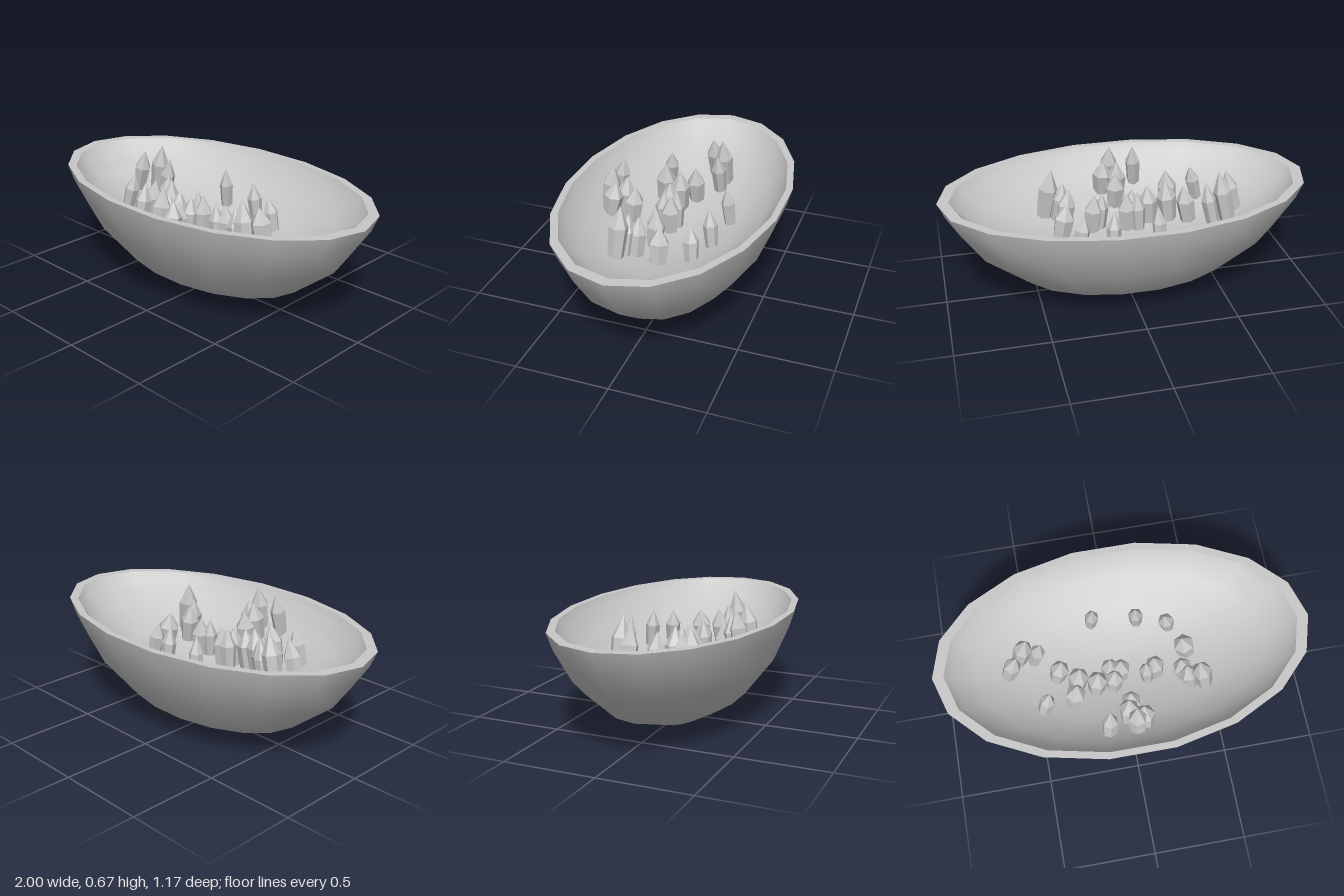
import * as THREE from 'three';

const SIDES = 18;
const DEPTH_SCALE = 0.593; // oval bowl: z radius relative to x radius
const RIM_Y = 0.6;
const WALL = 0.94;         // inner opening relative to outer rim
const INNER_DEPTH = 0.49;  // shallow inside: depth relative to outer shell

// Outer shell profile [radius, height], bottom to rim
const PROFILE = [[0, 0], [0.21, 0], [0.585, 0.13], [0.832, 0.325], [0.96, 0.51], [1, RIM_Y]];

// Crystals: [x, z, tip height, radius]
const CRYSTALS = [
  [-0.13, -0.25, 0.575, 0.038], [0.115, -0.225, 0.56, 0.04], [0.28, -0.17, 0.525, 0.043],
  [0.35, -0.015, 0.53, 0.057], [-0.535, -0.1, 0.665, 0.051], [-0.46, -0.09, 0.6, 0.042],
  [-0.605, -0.02, 0.63, 0.047], [-0.355, 0.015, 0.55, 0.051], [-0.26, 0.08, 0.565, 0.055],
  [-0.29, 0.18, 0.58, 0.055], [-0.45, 0.2, 0.58, 0.041], [-0.16, 0.11, 0.53, 0.055],
  [-0.08, 0.04, 0.53, 0.046], [-0.02, 0.055, 0.52, 0.051], [-0.065, 0.11, 0.52, 0.049],
  [0.12, 0.095, 0.52, 0.041], [0.17, 0.07, 0.52, 0.051], [0.315, 0.12, 0.55, 0.052],
  [0.34, 0.17, 0.57, 0.05], [0.405, 0.19, 0.645, 0.053], [0, 0.265, 0.55, 0.055],
  [-0.02, 0.32, 0.6, 0.055], [0.055, 0.365, 0.59, 0.055], [0.01, 0.395, 0.665, 0.05],
  [-0.137, 0.39, 0.655, 0.043],
];

// Oval lathe with a corner on the long axis
function ovalLathe(points) {
  const profile = points.map(([r, y]) => new THREE.Vector2(r, y));
  const geometry = new THREE.LatheGeometry(profile, SIDES, Math.PI / 2);
  return geometry.scale(1, 1, DEPTH_SCALE);
}

// Unit crystal: six-sided prism widening to a shoulder, then a point
function crystalGeometry() {
  const profile = [[0, 0], [0.8, 0], [1, 0.62], [0, 1]].map(([r, y]) => new THREE.Vector2(r, y));
  const geometry = new THREE.LatheGeometry(profile, 6).toNonIndexed();
  geometry.computeVertexNormals();
  return geometry;
}

export function createModel() {
  const model = new THREE.Group();
  model.name = 'crystalBowl';
  const stone = new THREE.MeshStandardMaterial({ color: 0xc8c8c8 });
  stone.name = 'stoneGrey';

  const add = (parent, name, geometry) => {
    const mesh = new THREE.Mesh(geometry, stone);
    mesh.name = name;
    parent.add(mesh);
    return mesh;
  };

  // Bowl: deep outside, shallow inside
  const inner = PROFILE.map(([r, y]) => [r * WALL, RIM_Y + (y - RIM_Y) * INNER_DEPTH]).reverse();
  add(model, 'outerShell', ovalLathe(PROFILE));
  add(model, 'rim', ovalLathe([[1, RIM_Y], [WALL, RIM_Y]]));
  add(model, 'innerShell', ovalLathe(inner));

  // Crystals lean inwards, with their feet sunk slightly into the floor
  const cluster = new THREE.Group();
  cluster.name = 'crystals';
  model.add(cluster);
  const unit = crystalGeometry();
  const up = new THREE.Vector3(0, 1, 0);
  CRYSTALS.forEach(([x, z, tipY, radius], i) => {
    const baseY = 0.27 + 0.28 * (x * x + (z * z) / 0.35);
    const base = new THREE.Vector3(x * 1.04, baseY, z * 1.04);
    const axis = new THREE.Vector3(x * 0.92, tipY, z * 0.93).sub(base);
    const crystal = add(cluster, 'crystal' + (i + 1), unit);
    crystal.position.copy(base);
    crystal.scale.set(radius, axis.length(), radius);
    crystal.quaternion.setFromUnitVectors(up, axis.normalize());
    crystal.rotateY(i * 2.4);
  });
  return model;
}
